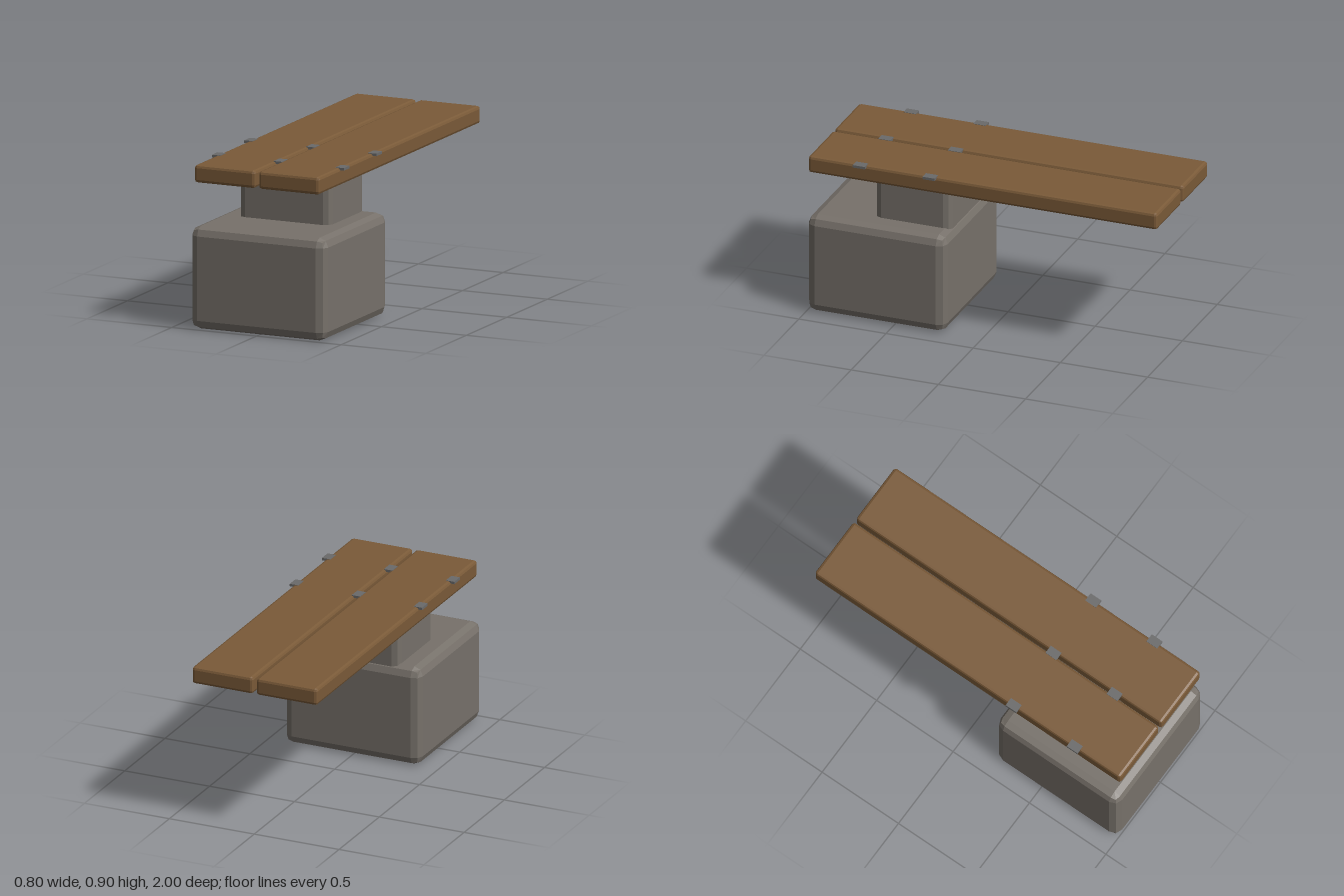
import * as THREE from 'three';
import { RoundedBoxGeometry } from 'three/addons/geometries/RoundedBoxGeometry.js';

function material(name, color) {
  const m = new THREE.MeshStandardMaterial({ color, flatShading: true });
  m.name = name;
  return m;
}

export function createModel() {
  const model = new THREE.Group();
  model.name = 'stonePierWithPlanks';
  const stone = material('stone', 0x77716a);
  const wood = material('wood', 0x7a5a38);
  const iron = material('iron', 0x6a6a6a);

  // Box given by its min and max corners; a radius bevels its edges
  function block(name, mat, min, max, radius = 0) {
    const size = max.map((v, i) => v - min[i]);
    const geometry = radius
      ? new RoundedBoxGeometry(...size, 1, radius)
      : new THREE.BoxGeometry(...size);
    const mesh = new THREE.Mesh(geometry, mat);
    mesh.position.set(...max.map((v, i) => (v + min[i]) / 2));
    mesh.name = name;
    model.add(mesh);
  }

  // Stacked stone blocks
  block('stoneBase', stone, [-0.4, 0, 0.205], [0.4, 0.56, 1], 0.05);
  block('stonePier', stone, [-0.27, 0.48, 0.225], [0.27, 0.82, 0.66], 0.04);

  // Two long planks overhanging to the back
  block('leftPlank', wood, [0.01, 0.802, -1], [0.369, 0.898, 1], 0.016);
  block('rightPlank', wood, [-0.369, 0.802, -1], [-0.01, 0.898, 1], 0.016);

  // Small iron clips in the gap and along both outer edges
  for (const z of [0.3, 0.7]) {
    for (const x of [-0.365, 0, 0.365]) {
      block('clip', iron, [x - 0.025, 0.886, z - 0.035], [x + 0.025, 0.9, z + 0.035]);
    }
  }
  return model;
}
